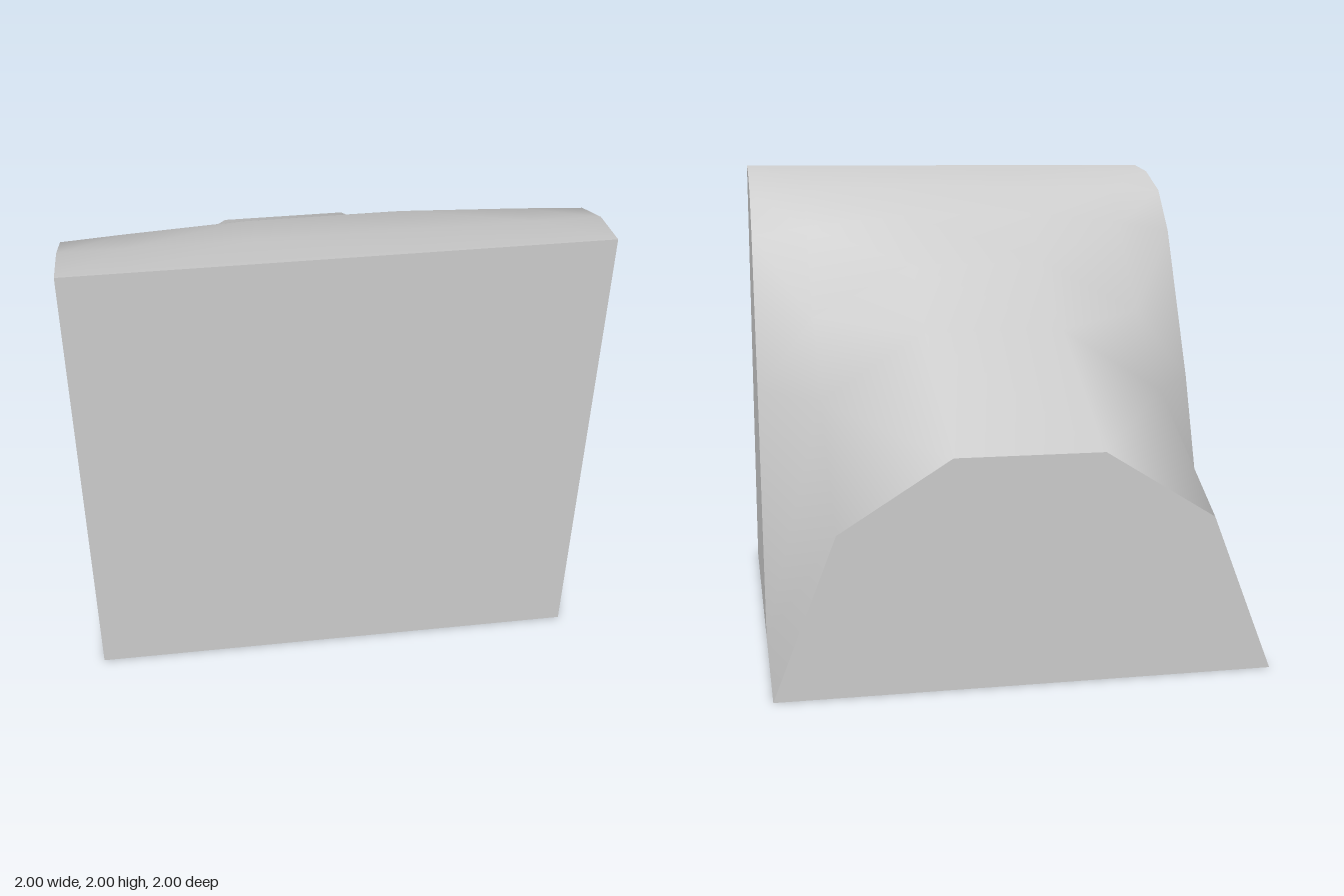
import * as THREE from 'three';

// Columns across the slope
const COLS = [-1, -0.75, -0.3, 0.3, 0.75, 1];
// Rows from cliff top to ridge end; [z, y] at the edge, shoulder and crest
const ROWS = [
  [[1, 2], [1, 2], [1, 2]],
  [[0.8, 1.97], [0.8, 1.97], [0.8, 1.97]],
  [[0.59, 1.88], [0.58, 1.89], [0.56, 1.9]],
  [[0.43, 1.69], [0.41, 1.73], [0.37, 1.78]],
  [[0.11, 1.02], [0.12, 1.34], [0.12, 1.57]],
  [[-0.27, 0], [-0.27, 1.03], [-0.27, 1.31]],
  [[-1, 0], [-1, 0.645], [-1, 0.925]],
];

function slopeGeometry() {
  const positions = [], index = [], n = COLS.length;
  for (const row of ROWS) {
    COLS.forEach((x, c) => {
      const [z, y] = row[Math.min(c, n - 1 - c)];
      positions.push(x, y, z);
    });
  }
  for (let r = 0; r < ROWS.length - 1; r++) {
    for (let c = 0; c < n - 1; c++) {
      const a = r * n + c, b = a + 1, d = a + n, e = d + 1;
      // Mirrored diagonals keep both flanks alike
      if (c < n / 2 - 1) index.push(a, b, e, a, e, d);
      else index.push(a, b, d, b, e, d);
    }
  }
  const g = new THREE.BufferGeometry();
  g.setAttribute('position', new THREE.Float32BufferAttribute(positions, 3));
  g.setIndex(index);
  g.computeVertexNormals();
  return g;
}

function flatFace(points) {
  return new THREE.ShapeGeometry(new THREE.Shape(points.map(([x, y]) => new THREE.Vector2(x, y))));
}

export function createModel() {
  const group = new THREE.Group();
  group.name = 'ridgeTile';
  const material = new THREE.MeshStandardMaterial({ color: 0xcccccc });
  const add = (name, geometry) => {
    const mesh = new THREE.Mesh(geometry, material);
    mesh.name = name;
    group.add(mesh);
  };

  // Smooth hillside with the ridge running out to the back
  add('slope', slopeGeometry());

  // Side walls follow the edge profile of the slope
  const edge = ROWS.slice(0, 6).map((row) => row[0]);
  for (const side of [1, -1]) {
    const wall = flatFace([[1, 0], ...edge].map(([z, y]) => [-side * z, y]));
    wall.rotateY(side * Math.PI / 2).translate(side, 0, 0);
    add(side > 0 ? 'leftWall' : 'rightWall', wall);
  }

  // Ridge cross-section closing the back
  const last = ROWS[ROWS.length - 1];
  const section = COLS.map((x, c) => [x, last[Math.min(c, COLS.length - 1 - c)][1]]);
  add('backWall', flatFace(section).rotateY(Math.PI).translate(0, 0, -1));

  // Square front and underside
  add('frontWall', new THREE.PlaneGeometry(2, 2).translate(0, 1, 1));
  add('base', new THREE.PlaneGeometry(2, 2).rotateX(Math.PI / 2));
  return group;
}
